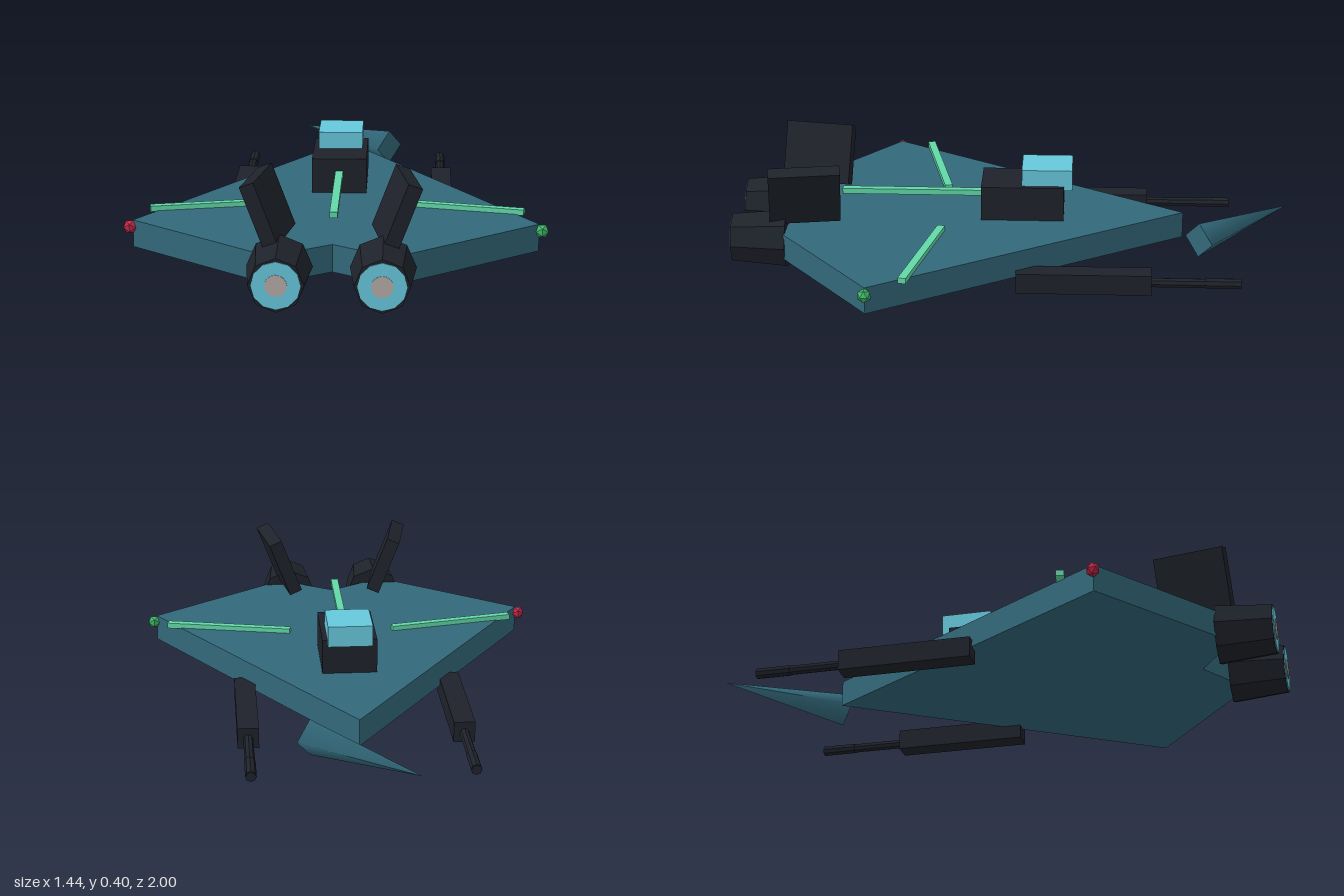
import * as THREE from 'three';

const paint = (color, flatShading = true) => new THREE.MeshStandardMaterial({ color, flatShading });

export function createModel() {
  const model = new THREE.Group();
  const teal = paint(0x32687a), tealSmooth = paint(0x32687a, false), dark = paint(0x1e222a);
  const cyan = paint(0x66c8dc), mint = paint(0x62d8a8);
  const red = paint(0xc02848), green = paint(0x3fb468), core = paint(0xb4aaa6);

  const add = (name, geometry, material, x, y, z) => {
    const mesh = new THREE.Mesh(geometry, material);
    mesh.name = name;
    mesh.position.set(x, y, z);
    model.add(mesh);
    return mesh;
  };
  const box = (name, material, w, h, d, x, y, z) =>
    add(name, new THREE.BoxGeometry(w, h, d), material, x, y, z);
  // cylinder along z: r0 at the +z end, r1 at the -z end
  const tube = (name, material, r0, r1, length, sides, x, y, z) =>
    add(name, new THREE.CylinderGeometry(r0, r1, length, sides).rotateX(Math.PI / 2), material, x, y, z);

  // flat arrowhead hull, outline drawn as (x, -z)
  const outline = [[0, 0.61], [-0.69, -0.47], [-0.2, -0.85], [0, -0.72], [0.2, -0.85], [0.69, -0.47]];
  const shape = new THREE.Shape(outline.map(([x, y]) => new THREE.Vector2(x, y)));
  const hull = new THREE.ExtrudeGeometry(shape, { depth: 0.095, bevelEnabled: false }).rotateX(-Math.PI / 2);
  add('hull', hull, teal, 0, 0.065, 0);

  // loose four-sided nose cone, turned off the centre line
  const nose = new THREE.ConeGeometry(0.064, 0.48, 4).rotateX(-Math.PI / 2).rotateY(Math.PI / 4);
  add('noseCone', nose, tealSmooth, 0, 0.125, -0.83);

  // cockpit and spine
  box('cockpit', dark, 0.194, 0.125, 0.295, 0, 0.2225, -0.0325);
  box('canopy', cyan, 0.158, 0.075, 0.18, 0, 0.3075, -0.12);
  box('spineStrip', mint, 0.027, 0.02, 0.51, 0, 0.23, 0.365);

  for (const s of [1, -1]) {
    const side = s > 0 ? 'left' : 'right';

    // engine with its glowing outlet
    tube(side + 'Engine', dark, 0.09, 0.108, 0.195, 8, s * 0.168, 0.11, 0.8975);
    tube(side + 'EngineGlow', cyan, 0.079, 0.079, 0.01, 12, s * 0.168, 0.11, 0.993);
    tube(side + 'EngineCore', core, 0.036, 0.036, 0.01, 16, s * 0.168, 0.11, 0.995);

    // tail fin, leaning and splayed outward
    const fin = box(side + 'Fin', dark, 0.05, 0.22, 0.25, s * 0.21, 0.292, 0.73);
    fin.rotation.set(0, s * 0.17, -s * 0.37, 'YXZ');

    // wing strip
    const strip = box(side + 'WingStrip', mint, 0.465, 0.02, 0.028, s * 0.418, 0.167, 0.3);
    strip.rotation.y = -s * 0.215;

    // wing tip light
    add(side + 'TipLight', new THREE.IcosahedronGeometry(0.025, 0), s > 0 ? green : red, s * 0.7, 0.136, 0.47);

    // gun
    box(side + 'GunBody', dark, 0.074, 0.073, 0.47, s * 0.37, 0.053, -0.255);
    tube(side + 'GunBarrel', dark, 0.017, 0.017, 0.32, 8, s * 0.37, 0.05, -0.64);
    tube(side + 'GunMuzzle', dark, 0.019, 0.019, 0.12, 8, s * 0.37, 0.05, -0.737);
  }
  return model;
}
